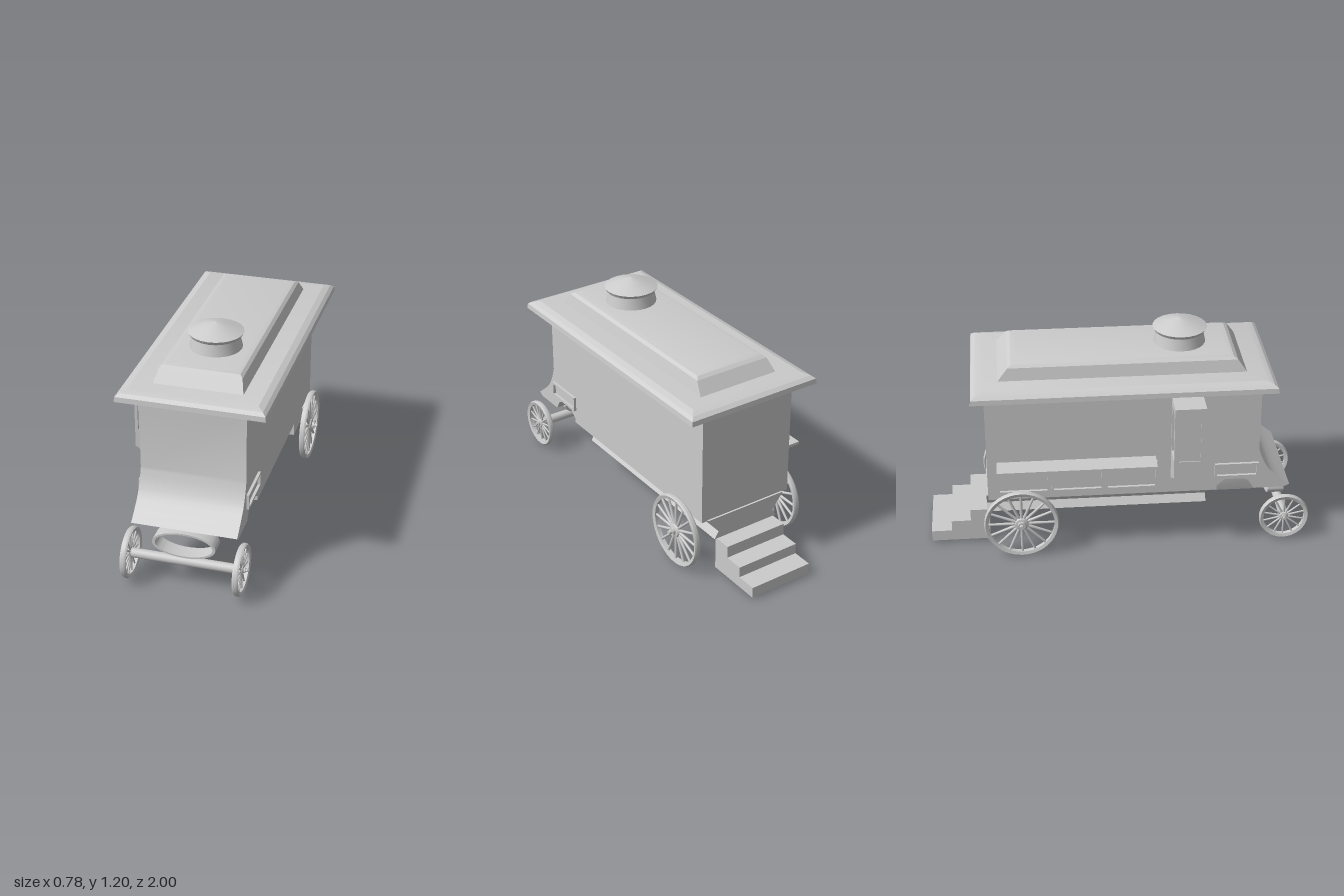
import * as THREE from 'three';
import { toCreasedNormals } from 'three/addons/utils/BufferGeometryUtils.js';

const grey = new THREE.MeshStandardMaterial({ color: 0xcccccc, side: THREE.DoubleSide });
const CX = 0.008; // body centreline

export function createModel() {
  const root = new THREE.Group();
  root.name = 'wagon';

  const add = (name, geo, parent = root) => {
    const m = new THREE.Mesh(geo, grey);
    m.name = name;
    parent.add(m);
    return m;
  };
  const box = (name, x0, x1, y0, y1, z0, z1, parent) =>
    add(name, new THREE.BoxGeometry(x1 - x0, y1 - y0, z1 - z0)
      .translate((x0 + x1) / 2, (y0 + y1) / 2, (z0 + z1) / 2), parent);
  const shapeOf = pts => new THREE.Shape(pts.map(p => new THREE.Vector2(p[0], p[1])));
  // outline in (x, y), swept from z0 to z1
  const sweepZ = (shape, z0, z1) =>
    new THREE.ExtrudeGeometry(shape, { depth: z1 - z0, bevelEnabled: false, curveSegments: 32 }).translate(0, 0, z0);
  // outline in (z, y), swept from x0 to x1
  const sweepX = (shape, x0, x1) =>
    new THREE.ExtrudeGeometry(shape, { depth: x1 - x0, bevelEnabled: false }).rotateY(-Math.PI / 2).translate(x1, 0, 0);
  // stacked rectangles [x0, x1, z0, z1, y] from bottom to top, closed at both ends
  const loft = levels => {
    const pos = [], index = [];
    levels.forEach(([x0, x1, z0, z1, y]) => pos.push(x0, y, z1, x1, y, z1, x1, y, z0, x0, y, z0));
    for (let l = 0; l < levels.length - 1; l++) {
      for (let i = 0; i < 4; i++) {
        const a = l * 4 + i, b = l * 4 + (i + 1) % 4;
        index.push(a, b, b + 4, a, b + 4, a + 4);
      }
    }
    const t = (levels.length - 1) * 4;
    index.push(t, t + 1, t + 2, t, t + 2, t + 3, 0, 2, 1, 0, 3, 2);
    const g = new THREE.BufferGeometry();
    g.setAttribute('position', new THREE.Float32BufferAttribute(pos, 3));
    g.setIndex(index);
    return toCreasedNormals(g, 0.3);
  };

  // Cabin with flared front skirt and front wheel arches
  const flare = new THREE.SplineCurve([[0.72, 0.56], [0.745, 0.49], [0.79, 0.42], [0.89, 0.335]]
    .map(p => new THREE.Vector2(...p))).getPoints(10).map(p => [p.x, p.y]);
  const cabin = shapeOf([[-0.69, 0.32], [-0.69, 0.95], [0.72, 0.95], ...flare, [0.86, 0.32],
    [0.70, 0.32], [0.67, 0.37], [0.645, 0.382], [0.545, 0.382], [0.505, 0.345], [0.505, 0.32]]);
  add('cabin', toCreasedNormals(sweepX(cabin, -0.262, 0.276), 0.4));

  // Underbody, pinched in the middle
  const hull = [[0.235, 0.325], [0.17, 0.24], [0.194, 0.2]];
  add('underbody', sweepZ(shapeOf([...hull.map(([x, y]) => [x + CX, y]),
    ...hull.map(([x, y]) => [CX - x, y]).reverse()]), -0.7, 0.46));
  add('frontUnderbody', loft([
    [-0.135, 0.15, 0.44, 0.74, 0.235], [-0.155, 0.168, 0.44, 0.79, 0.32], [-0.155, 0.168, 0.44, 0.76, 0.384]]));

  // Roof, raised roof and chimney cowl
  add('roof', loft([
    [-0.365, 0.385, -0.755, 0.787, 0.94], [-0.362, 0.382, -0.752, 0.784, 0.966],
    [-0.345, 0.365, -0.73, 0.765, 0.98], [-0.315, 0.335, -0.69, 0.73, 0.99]]));
  add('raisedRoof', loft([
    [-0.215, 0.24, -0.62, 0.648, 0.985], [-0.196, 0.222, -0.565, 0.6, 1.052],
    [-0.182, 0.206, -0.545, 0.58, 1.064], [-0.155, 0.18, -0.515, 0.55, 1.07]]));
  const cowl = [[0.135, 1.06], [0.12, 1.13], [0.13, 1.135], [0.14, 1.153], [0.07, 1.18], [0, 1.2]];
  add('chimneyCowl', toCreasedNormals(
    new THREE.LatheGeometry(cowl.map(p => new THREE.Vector2(...p)), 24), 0.35)).position.set(0.013, 0, 0.325);

  // Framed panel standing off a side wall (side = -1 or 1)
  const framedPanel = (name, side, z0, z1, y0, y1, border = 0.012) => {
    const s = shapeOf([[z0, y0], [z1, y0], [z1, y1], [z0, y1]]);
    s.holes.push(shapeOf([[z0 + border, y0 + border], [z0 + border, y1 - border],
      [z1 - border, y1 - border], [z1 - border, y0 + border]]));
    const wall = side > 0 ? 0.27 : -0.257;
    add(name, sweepX(s, Math.min(wall, wall + side * 0.02), Math.max(wall, wall + side * 0.02)));
  };
  for (const side of [-1, 1]) framedPanel('frontSidePanel', side, 0.49, 0.72, 0.4, 0.482);
  for (let i = 0; i < 3; i++) framedPanel('counterPanel', -1, -0.64 + i * 0.28, -0.37 + i * 0.28, 0.36, 0.52);

  // Serving shelf on the right side
  box('shelf', -0.37, -0.255, 0.53, 0.545, -0.64, 0.18);

  // Bay on the right side with a sloping underside and recessed panes
  const bay = new THREE.Group();
  bay.name = 'sideBay';
  root.add(bay);
  const bayOutline = () => shapeOf([[-0.255, 0.405], [-0.255, 0.885], [-0.388, 0.885], [-0.388, 0.482]]);
  add('bayCore', sweepZ(bayOutline(), 0.272, 0.408), bay);
  for (const z of [0.26, 0.408]) {
    const s = bayOutline();
    s.holes.push(shapeOf([[-0.377, 0.58], [-0.275, 0.58], [-0.275, 0.842], [-0.377, 0.842]]));
    add('bayFrame', sweepZ(s, z, z + 0.012), bay);
  }
  const sash = shapeOf([[0.26, 0.482], [0.42, 0.482], [0.42, 0.885], [0.26, 0.885]]);
  sash.holes.push(shapeOf([[0.285, 0.58], [0.395, 0.58], [0.395, 0.842], [0.285, 0.842]]));
  add('bayFrame', sweepX(sash, -0.393, -0.387), bay);

  // Rear steps
  add('rearSteps', sweepX(shapeOf([[-0.69, 0.018], [-0.69, 0.2], [-0.79, 0.2], [-0.79, 0.135],
    [-0.892, 0.135], [-0.892, 0.077], [-1, 0.077], [-1, 0.018]]), -0.168, 0.188));

  // Elliptical front spring and axle
  const spring = new THREE.Shape().absellipse(0.003, 0.242, 0.162, 0.07, 0, Math.PI * 2);
  spring.holes.push(new THREE.Path().absellipse(0.003, 0.242, 0.147, 0.061, 0, Math.PI * 2));
  add('frontSpring', toCreasedNormals(sweepZ(spring, 0.8, 0.885), 0.5));
  add('frontAxle', new THREE.CylinderGeometry(0.025, 0.025, 0.55, 20)
    .rotateZ(Math.PI / 2).translate(CX, 0.146, 0.87));

  // Spoked wheel, outer side facing 'side'
  const wheel = (name, x, y, z, R, side, spokes) => {
    const g = new THREE.Group();
    g.name = name;
    g.position.set(x, y, z);
    g.rotation.y = side * Math.PI / 2; // local +z points outward
    root.add(g);
    const rim = [[R - 0.023, -0.011], [R - 0.006, -0.016], [R, -0.006], [R, 0.006],
      [R - 0.006, 0.016], [R - 0.023, 0.011], [R - 0.023, -0.011]];
    add('rim', toCreasedNormals(new THREE.LatheGeometry(
      rim.map(p => new THREE.Vector2(...p)), 40).rotateX(Math.PI / 2), 0.6), g);
    const k = R / 0.195;
    const hub = [[0, -0.022], [0.033, -0.022], [0.04, 0], [0.033, 0.014], [0.02, 0.018],
      [0.02, 0.03], [0.011, 0.03], [0.011, 0.047], [0, 0.047]];
    add('hub', toCreasedNormals(new THREE.LatheGeometry(
      hub.map(p => new THREE.Vector2(p[0] * k, p[1] * k)), 16).rotateX(Math.PI / 2), 0.5), g);
    for (let i = 0; i < spokes; i++) {
      const len = R - 0.04;
      add('spoke', new THREE.CylinderGeometry(0.0065 * k, 0.0085 * k, len, 8)
        .translate(0, 0.025 + len / 2, 0).rotateZ(i / spokes * Math.PI * 2), g);
    }
  };
  for (const side of [-1, 1]) {
    wheel('rearWheel', side * 0.314, 0.2, -0.523, 0.195, side, 16);
    wheel('frontWheel', CX + side * 0.285, 0.146, 0.868, 0.132, side, 14);
  }
  return root;
}
